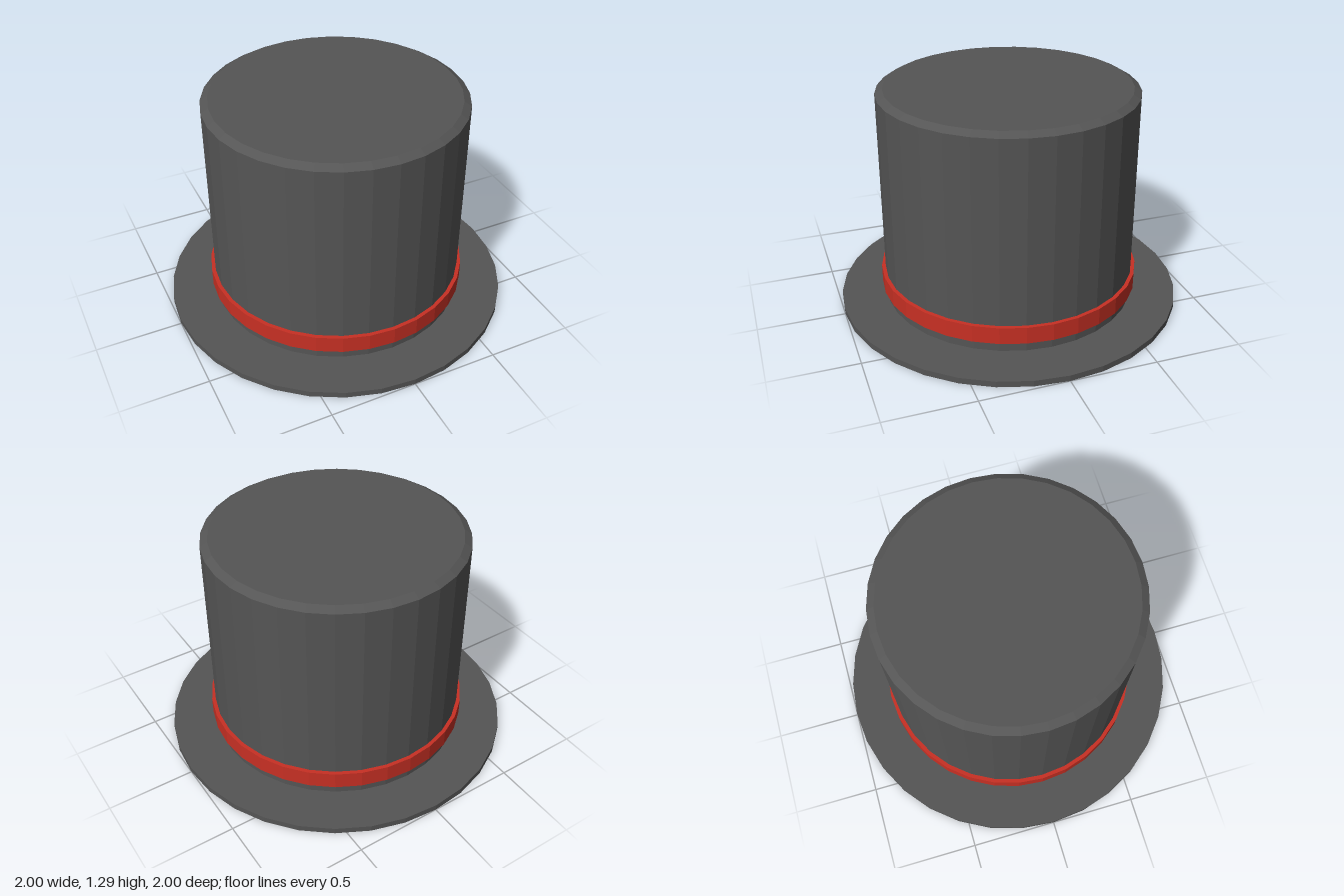
import * as THREE from 'three';

const SIDES = 32;
const CROWN_R = 0.735, BAND_R = 0.757;
const BRIM_TOP = 0.035, BAND_LOW = 0.095, BAND_HIGH = 0.195;

const felt = new THREE.MeshStandardMaterial({ color: 0x555555, flatShading: true, side: THREE.DoubleSide });
const ribbon = new THREE.MeshStandardMaterial({ color: 0xc83024, flatShading: true, side: THREE.DoubleSide });

// Faceted surface turned from [radius, height] points
function turned(name, profile, material) {
  const points = profile.map(([r, y]) => new THREE.Vector2(r, y));
  const geometry = new THREE.LatheGeometry(points, SIDES).toNonIndexed();
  geometry.computeVertexNormals();
  const mesh = new THREE.Mesh(geometry, material);
  mesh.name = name;
  return mesh;
}

export function createModel() {
  const hat = new THREE.Group();
  hat.name = 'topHat';

  // Flat ring brim, open in the middle
  hat.add(turned('brim', [[CROWN_R, 0], [1, 0], [1, BRIM_TOP], [CROWN_R, BRIM_TOP]], felt));

  // Thin wall below the band, lining the brim opening
  hat.add(turned('crownBase', [[CROWN_R, 0], [CROWN_R, BAND_LOW]], felt));

  // Band stepped out from the wall, leaving a groove inside
  hat.add(turned('band', [
    [CROWN_R, BAND_LOW], [BAND_R, BAND_LOW], [BAND_R, BAND_HIGH], [CROWN_R, BAND_HIGH],
  ], ribbon));

  // Hollow crown with a bevelled, closed top
  hat.add(turned('crown', [[CROWN_R, BAND_HIGH], [CROWN_R, 1.27], [0.693, 1.295], [0, 1.295]], felt));

  return hat;
}
